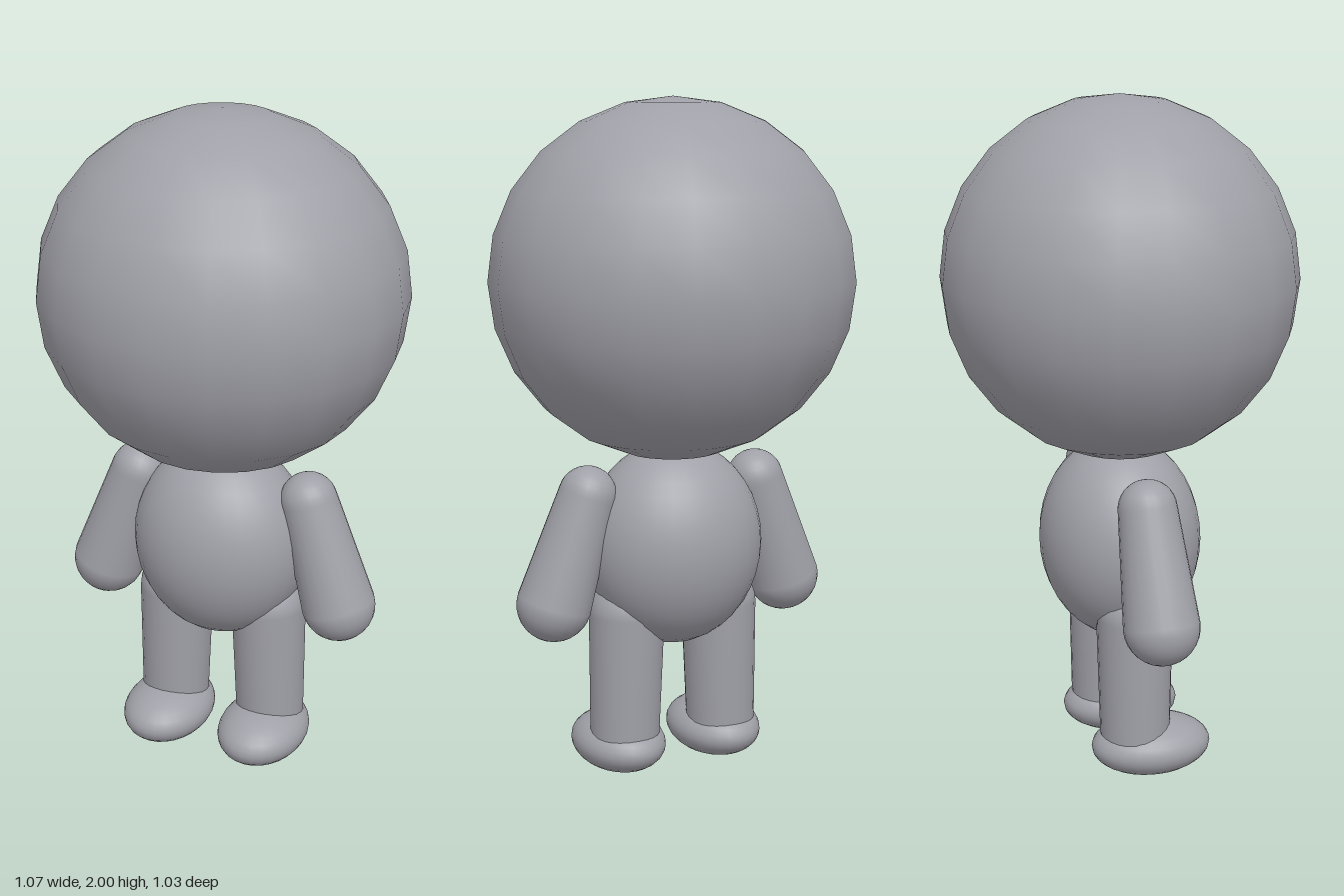
import * as THREE from 'three';

export function createModel() {
  const model = new THREE.Group();
  model.name = 'figure';
  const grey = new THREE.MeshStandardMaterial({ color: 0xa0a0a8 });
  grey.name = 'plain grey';

  function add(name, geometry) {
    const mesh = new THREE.Mesh(geometry, grey);
    mesh.name = name;
    model.add(mesh);
    return mesh;
  }

  function ellipsoid(name, center, radii, across, down) {
    const mesh = add(name, new THREE.SphereGeometry(1, across, down));
    mesh.scale.set(...radii);
    mesh.position.set(...center);
  }

  // Tapered limb with round ends, from the lower centre to the upper centre
  function limb(name, low, high, lowRadius, highRadius) {
    const a = new THREE.Vector3(...low);
    const axis = new THREE.Vector3(...high).sub(a);
    const length = axis.length();
    const points = [];
    const steps = 8;
    for (let i = 0; i <= steps; i++) {
      const t = (i / steps - 1) * Math.PI / 2;
      points.push(new THREE.Vector2(Math.cos(t) * lowRadius, Math.sin(t) * lowRadius));
    }
    for (let i = 0; i <= steps; i++) {
      const t = (i / steps) * Math.PI / 2;
      points.push(new THREE.Vector2(Math.cos(t) * highRadius, length + Math.sin(t) * highRadius));
    }
    points[0].x = points[points.length - 1].x = 0;
    const mesh = add(name, new THREE.LatheGeometry(points, 24));
    mesh.position.copy(a);
    mesh.quaternion.setFromUnitVectors(new THREE.Vector3(0, 1, 0), axis.normalize());
  }

  // Large round head above an egg-shaped body
  ellipsoid('head', [0, 1.48, 0], [0.535, 0.52, 0.515], 20, 12);
  ellipsoid('body', [0, 0.7, 0], [0.27, 0.305, 0.238], 32, 20);

  // Mirrored arms, legs and feet
  for (const [side, s] of [['left', 1], ['right', -1]]) {
    limb(side + 'Arm', [s * 0.378, 0.552, 0.01], [s * 0.274, 0.87, 0], 0.11, 0.085);
    limb(side + 'Leg', [s * 0.16, 0.13, 0], [s * 0.152, 0.5, 0], 0.104, 0.113);
    ellipsoid(side + 'Foot', [s * 0.16, 0.088, 0.05], [0.135, 0.085, 0.181], 28, 16);
  }
  return model;
}
